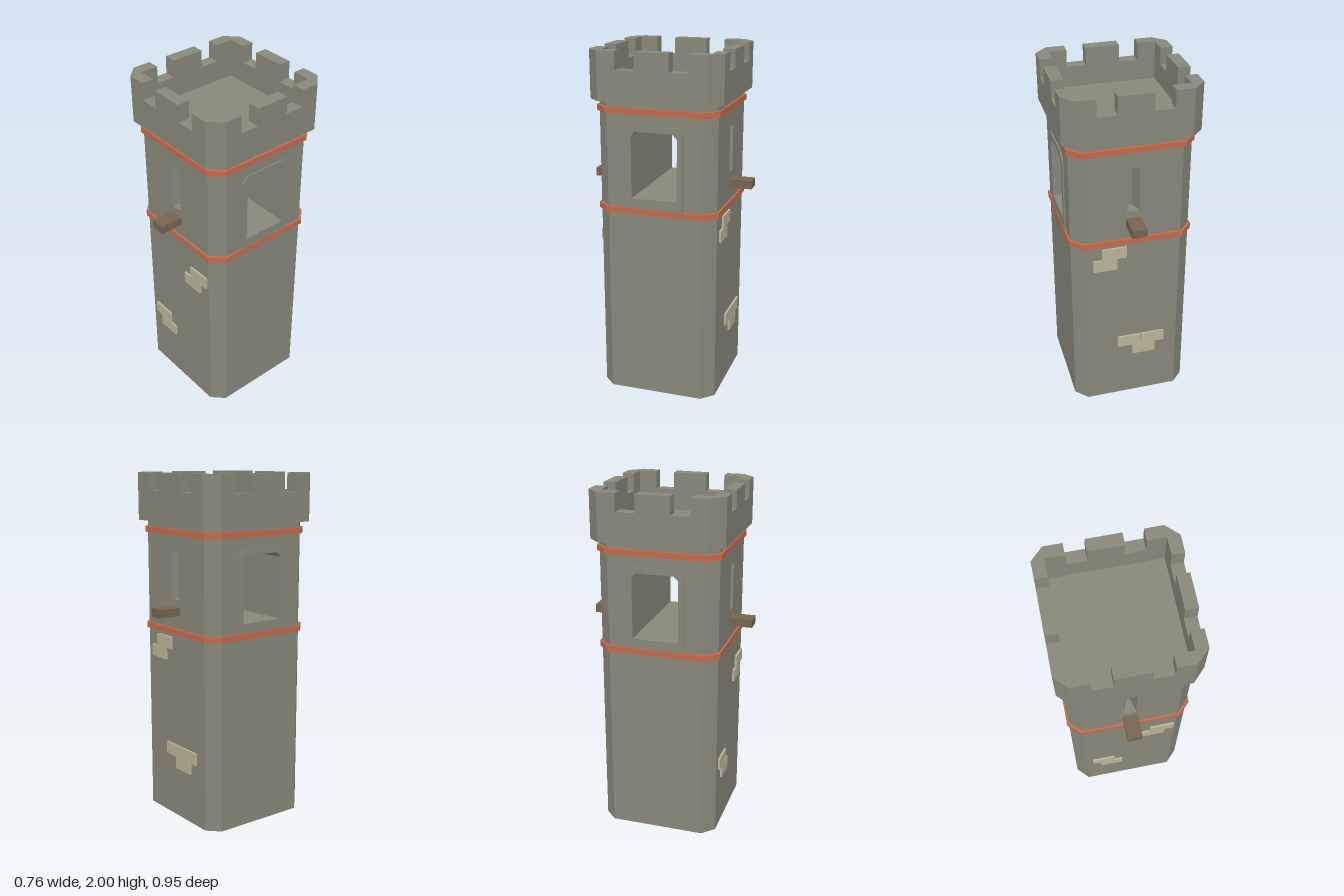
import * as THREE from 'three';

const mat = (name, color) => {
  const m = new THREE.MeshStandardMaterial({ color, side: THREE.DoubleSide });
  m.name = name;
  return m;
};

const polygon = (pts) => new THREE.Shape(pts.map(([x, y]) => new THREE.Vector2(x, y)));

// Square outline of half width h whose corners are cut off beyond c
const octagon = (h, c) => polygon([
  [h, -c], [h, c], [c, h], [-c, h], [-h, c], [-h, -c], [-c, -h], [c, -h],
]);

const rect = (x0, y0, x1, y1) => polygon([[x0, y0], [x1, y0], [x1, y1], [x0, y1]]);

// Rectangle with clipped upper corners, for the windows
const windowShape = (w, y0, y1, c) => polygon([
  [-w, y0], [w, y0], [w, y1 - c], [w - c, y1], [-w + c, y1], [-w, y1 - c],
]);

// Extrudes a plan shape upwards from y0 to y1
function prism(shape, y0, y1) {
  const g = new THREE.ExtrudeGeometry(shape, { depth: y1 - y0, bevelEnabled: false });
  return g.rotateX(-Math.PI / 2).translate(0, y0, 0);
}

export function createModel() {
  const stone = mat('stone', 0x87877a);
  const paleStone = mat('pale stone', 0xb9b498);
  const terracotta = mat('terracotta', 0xc56a4c);
  const wood = mat('wood', 0x75654f);
  const model = new THREE.Group();
  model.name = 'tower';

  const add = (name, geometry, material, parent = model) => {
    const mesh = new THREE.Mesh(geometry, material);
    mesh.name = name;
    parent.add(mesh);
    return mesh;
  };
  const box = (name, x0, x1, y0, y1, z0, z1, material, parent) => add(
    name,
    new THREE.BoxGeometry(x1 - x0, y1 - y0, z1 - z0)
      .translate((x0 + x1) / 2, (y0 + y1) / 2, (z0 + z1) / 2),
    material, parent,
  );

  const H = 0.342, C = 0.274, TOP = 1.73;
  const SLIT = 0.035, SLIT_LOW = 1.3, SLIT_HIGH = 1.565, DEPTH = 0.08;

  // Four thin walls and four corner faces, open at the base
  for (let i = 0; i < 4; i++) {
    const side = new THREE.Group();
    side.name = ['frontSide', 'leftSide', 'backSide', 'rightSide'][i];
    side.rotation.y = i * Math.PI / 2;
    model.add(side);

    const wall = rect(-C, 0, C, TOP);
    wall.holes.push(i % 2
      ? windowShape(0.132, 1.19, 1.567, 0.025)
      : rect(-SLIT, SLIT_LOW, SLIT, SLIT_HIGH));
    add('wall', new THREE.ShapeGeometry(wall).translate(0, 0, H), stone, side);

    const corner = new THREE.PlaneGeometry((H - C) * Math.SQRT2, TOP)
      .rotateY(Math.PI / 4).translate((H + C) / 2, TOP / 2, (H + C) / 2);
    add('cornerWall', corner, stone, side);

    if (i % 2 === 0) {
      // Splayed arrow slit
      const back = H - DEPTH;
      for (const s of [-1, 1]) {
        const jamb = polygon([[s * SLIT, -H], [s * 0.013, -back], [s * SLIT, -back]]);
        add('slitJamb', prism(jamb, SLIT_LOW, SLIT_HIGH), stone, side);
      }
      box('slitBack', -SLIT, SLIT, SLIT_LOW, SLIT_HIGH, back - 0.01, back, stone, side);
      box('slitSill', -SLIT, SLIT, SLIT_LOW - 0.01, SLIT_LOW, back, H - 0.001, stone, side);
      box('slitLintel', -SLIT, SLIT, SLIT_HIGH, SLIT_HIGH + 0.01, back, H - 0.001, stone, side);
      // Beam end below the slit
      box('beam', -0.042, 0.042, 1.212, 1.26, H - 0.04, 0.475, wood, side);
    }
  }

  // Window surround and passage running through the tower
  const surround = windowShape(0.165, 1.12, 1.6, 0.035);
  surround.holes.push(windowShape(0.132, 1.19, 1.567, 0.025));
  const passage = new THREE.ExtrudeGeometry(surround, { depth: 0.7, bevelEnabled: false })
    .translate(0, 0, -0.35).rotateY(Math.PI / 2);
  add('windowPassage', passage, stone);

  // Terracotta bands
  for (const y of [1.1, 1.662]) {
    const ring = octagon(0.353, 0.284);
    ring.holes.push(octagon(H - 0.002, C - 0.001));
    add('band', prism(ring, y, y + 0.033), terracotta);
  }

  // Parapet with a sunken floor
  const P = 0.38, I = 0.31, N = 0.207, M = 0.097, SILL = 1.9;
  const parapet = octagon(P, I);
  parapet.holes.push(rect(-I, -I, I, I));
  add('parapet', prism(parapet, TOP, SILL), stone);
  box('roofFloor', -I, I, TOP, 1.78, -I, I, stone);

  // Battlements: one in the middle of each side, one on each corner
  const cornerPlan = polygon([[N, P], [N, I], [I, I], [I, N], [P, N], [P, I], [I, P]]);
  for (let i = 0; i < 4; i++) {
    const merlons = new THREE.Group();
    merlons.name = 'merlons';
    merlons.rotation.y = i * Math.PI / 2;
    model.add(merlons);
    box('middleMerlon', -M, M, SILL, 2, I, P, stone, merlons);
    add('cornerMerlon', prism(cornerPlan, SILL, 2), stone, merlons);
  }

  // Exposed bricks: centre x, centre y, and front (1) or back (-1)
  const bricks = [
    [-0.165, 0.418, 1], [-0.115, 0.343, 1], [0.192, 0.927, 1], [0.138, 0.857, 1],
    [0.02, 0.405, -1], [-0.125, 0.405, -1], [-0.07, 0.335, -1],
    [0.108, 1.045, -1], [0.162, 0.975, -1],
  ];
  for (const [x, y, s] of bricks) {
    const brick = new THREE.BoxGeometry(0.14, 0.071, 0.03).translate(x, y, s * (H - 0.003));
    add('brick', brick, paleStone);
  }

  return model;
}
